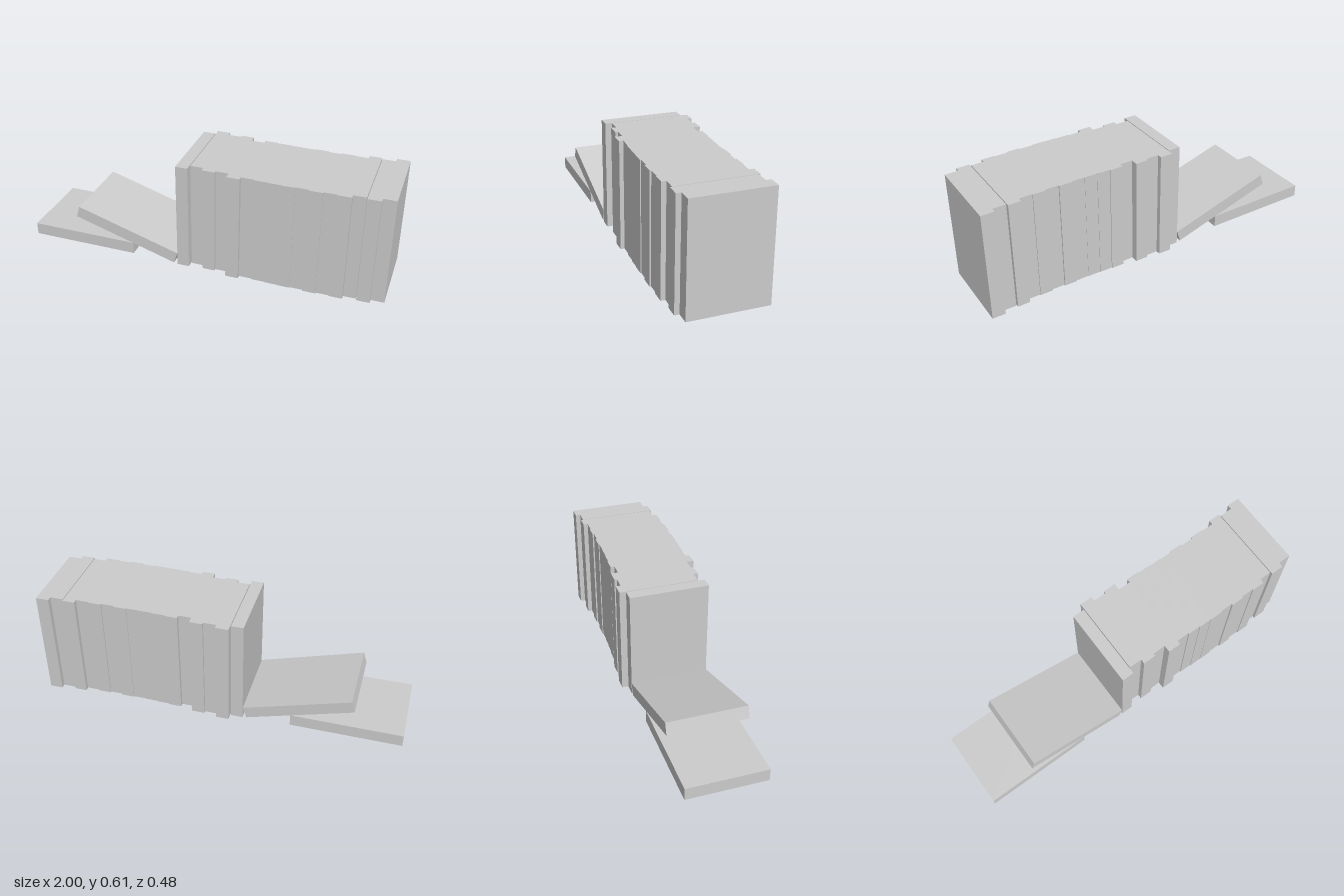
import * as THREE from 'three';

const HEIGHT = 0.608, DEPTH = 0.432, THICK = 0.0706;
const material = new THREE.MeshStandardMaterial({ color: 0xcccccc, flatShading: true });

function book(name, w, h, x, y, z, tilt = 0) {
  const mesh = new THREE.Mesh(new THREE.BoxGeometry(w, h, DEPTH), material);
  mesh.name = name;
  mesh.position.set(x, y, z);
  mesh.rotation.z = tilt;
  return mesh;
}

export function createModel() {
  const group = new THREE.Group();
  group.name = 'bookRow';

  // Upright books, each pushed in or pulled out a little
  const shifts = [0.01, -0.025, 0.001, -0.013, 0.026, 0.004, 0.009, 0.012,
    0.014, 0.009, 0.017, 0.009, 0.014, -0.011, 0.001, -0.026];
  const standing = new THREE.Group();
  standing.name = 'standingBooks';
  shifts.forEach((z, i) => {
    // Hairline gaps follow the first and the fourteenth book
    const gap = i === 0 || i === 13 ? 0.004 : 0;
    const x = -0.13 + THICK * (i + 0.5) - gap / 2;
    standing.add(book('standingBook' + (i + 1), THICK - gap, HEIGHT, x, HEIGHT / 2, z));
  });
  group.add(standing);

  // Book lying flat and one leaning across it
  group.add(book('lyingBook', 0.606, 0.068, -0.697, 0.045, 0.01));
  group.add(book('leaningBook', 0.608, 0.068, -0.432, 0.126, 0.01, -0.297));
  return group;
}
